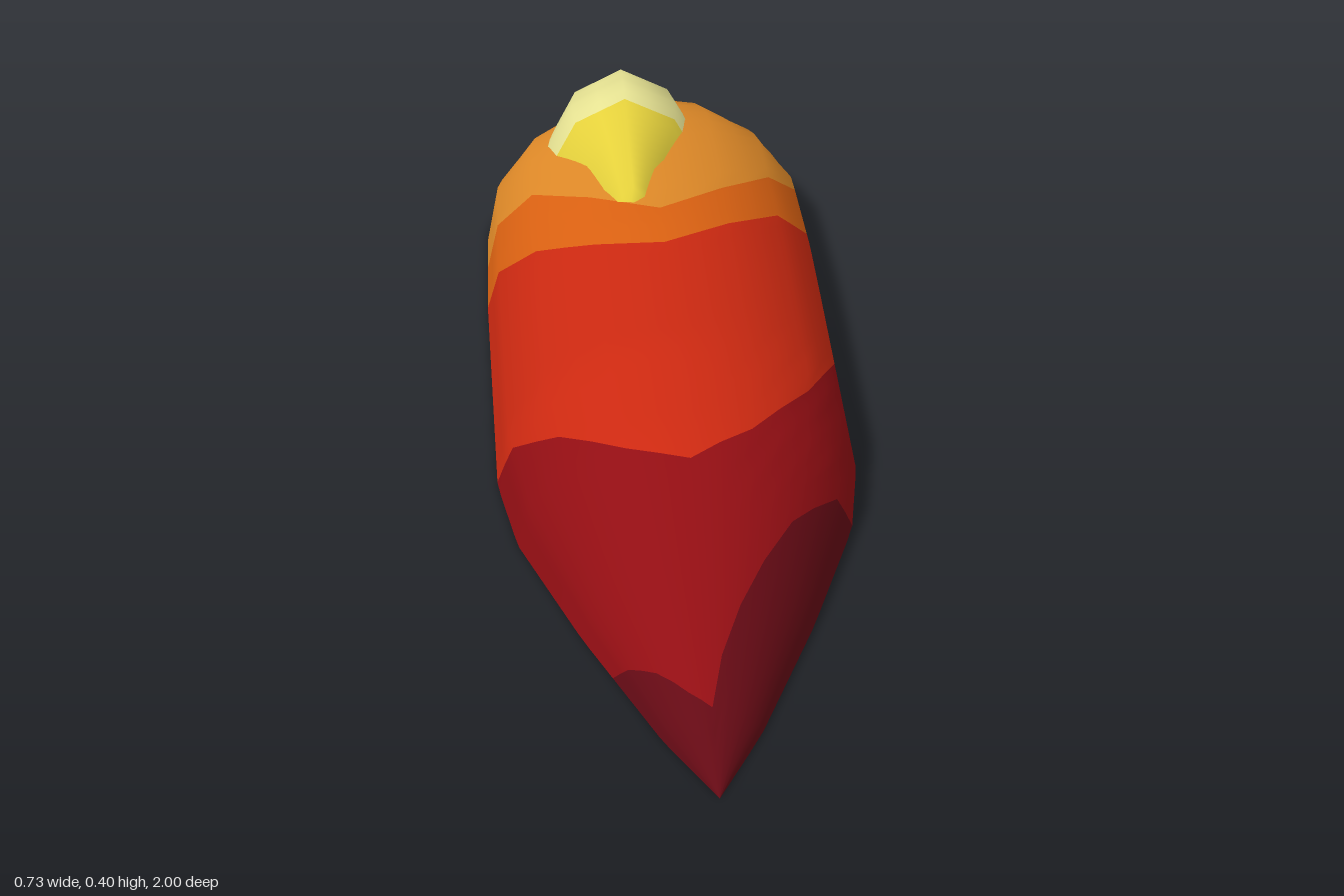
import * as THREE from 'three';

const paint = (name, color) => {
  const m = new THREE.MeshStandardMaterial({ color });
  m.name = name;
  return m;
};

// Linear interpolation through [z, value] pairs listed from front to back
function along(table, z) {
  for (let i = 1; i < table.length; i++) {
    const [z0, v0] = table[i - 1], [z1, v1] = table[i];
    if (z >= z1) return v0 + (v1 - v0) * Math.min(1, Math.max(0, (z0 - z) / (z0 - z1)));
  }
  return table[table.length - 1][1];
}

// Point on a half-round arch of straight facets; a runs 0..1 from +x over to -x
function arch(a, sides) {
  const s = Math.min(sides - 1, Math.floor(a * sides)), f = a * sides - s;
  const p = (k) => [Math.cos(k * Math.PI / sides), Math.sin(k * Math.PI / sides)];
  const [x0, y0] = p(s), [x1, y1] = p(s + 1);
  return [x0 + (x1 - x0) * f, y0 + (y1 - y0) * f];
}

// Smooth arched skin; edges[i](a) gives the z of colour border i
function skin(name, { edges, materials, steps, sides, cols, width, height, cx = 0 }) {
  const pos = [], index = [];
  const geo = new THREE.BufferGeometry();
  const bands = materials.length, rows = bands * steps;
  for (let r = 0; r <= rows; r++) {
    const band = Math.min(bands - 1, Math.floor(r / steps));
    let t = (r - band * steps) / steps;
    if (band === bands - 1) t = Math.sin(t * Math.PI / 2); // finer rows at the rounded back
    for (let c = 0; c <= cols; c++) {
      const a = c / cols, [x, y] = arch(a, sides);
      const z = THREE.MathUtils.lerp(edges[band](a), edges[band + 1](a), t);
      pos.push(cx + x * along(width, z), y * along(height, z), z);
    }
  }
  for (let r = 0; r < rows; r++) {
    for (let c = 0; c < cols; c++) {
      const p = r * (cols + 1) + c, q = p + cols + 1;
      index.push(p, q, p + 1, p + 1, q, q + 1);
    }
  }
  geo.setAttribute('position', new THREE.Float32BufferAttribute(pos, 3));
  geo.setIndex(index);
  materials.forEach((m, i) => geo.addGroup(i * steps * cols * 6, steps * cols * 6, i));
  geo.computeVertexNormals();
  const mesh = new THREE.Mesh(geo, materials);
  mesh.name = name;
  return mesh;
}

// Colour border from nine z values spaced evenly over the arch
const border = (v) => (a) => {
  const k = Math.min(7, Math.floor(a * 8));
  return v[k] + (v[k + 1] - v[k]) * (a * 8 - k);
};
const flat = (z) => () => z;

export function createModel() {
  const maroon = paint('maroon', 0x640a14);
  const darkRed = paint('dark red', 0x920e13);
  const red = paint('red', 0xcc2911);
  const burntOrange = paint('burnt orange', 0xdc6212);
  const orange = paint('orange', 0xe08a28);
  const yellow = paint('yellow', 0xe6d23c);
  const cream = paint('pale yellow', 0xe9e594);

  const group = new THREE.Group();
  group.name = 'bandedShell';

  // Body: pointed front, rounded back
  const width = [[1, 0], [0.87, 0.08], [0.62, 0.2], [0.36, 0.307], [0.18, 0.343], [-0.45, 0.363],
    [-0.77, 0.363], [-0.83, 0.347], [-0.91, 0.285], [-0.96, 0.2], [-0.987, 0.12], [-1, 0]];
  const height = [[1, 0], [0.9, 0.055], [0.62, 0.175], [0.4, 0.27], [0.17, 0.315], [-0.25, 0.33],
    [-0.7, 0.325], [-0.8, 0.31], [-0.88, 0.285], [-0.965, 0.17], [-0.987, 0.085], [-1, 0]];
  group.add(skin('body', {
    edges: [
      flat(1),
      border([0.35, 0.4, 0.52, 0.7, 0.87, 0.84, 0.79, 0.75, 0.72]),
      border([-0.16, 0, 0.22, 0.38, 0.45, 0.41, 0.31, 0.22, 0.17]),
      border([-0.57, -0.5, -0.4, -0.25, -0.15, -0.19, -0.29, -0.39, -0.45]),
      border([-0.77, -0.7, -0.57, -0.4, -0.28, -0.38, -0.53, -0.59, -0.62]),
      flat(-1),
    ],
    materials: [maroon, darkRed, red, burntOrange, orange],
    steps: 14, sides: 8, cols: 16, width, height,
  }));

  // Flat underside following the body outline
  const right = width.map(([z, w]) => new THREE.Vector2(w, z));
  const left = width.slice(1, -1).reverse().map(([z, w]) => new THREE.Vector2(-w, z));
  const baseGeo = new THREE.ShapeGeometry(new THREE.Shape([...right, ...left]));
  baseGeo.rotateX(Math.PI / 2);
  const base = new THREE.Mesh(baseGeo, maroon);
  base.name = 'underside';
  group.add(base);

  // Teardrop lump sunk into the back of the body, slightly off centre
  group.add(skin('teardrop', {
    edges: [flat(-0.31), flat(-0.64), flat(-0.91)],
    materials: [yellow, cream],
    steps: 12, sides: 6, cols: 12, cx: -0.05,
    width: [[-0.31, 0.06], [-0.33, 0.09], [-0.5, 0.15], [-0.64, 0.215], [-0.72, 0.228],
      [-0.83, 0.2], [-0.895, 0.16], [-0.91, 0.1]],
    height: [[-0.31, 0.3], [-0.325, 0.345], [-0.64, 0.396], [-0.7, 0.405],
      [-0.82, 0.385], [-0.895, 0.31], [-0.91, 0.22]],
  }));

  return group;
}
